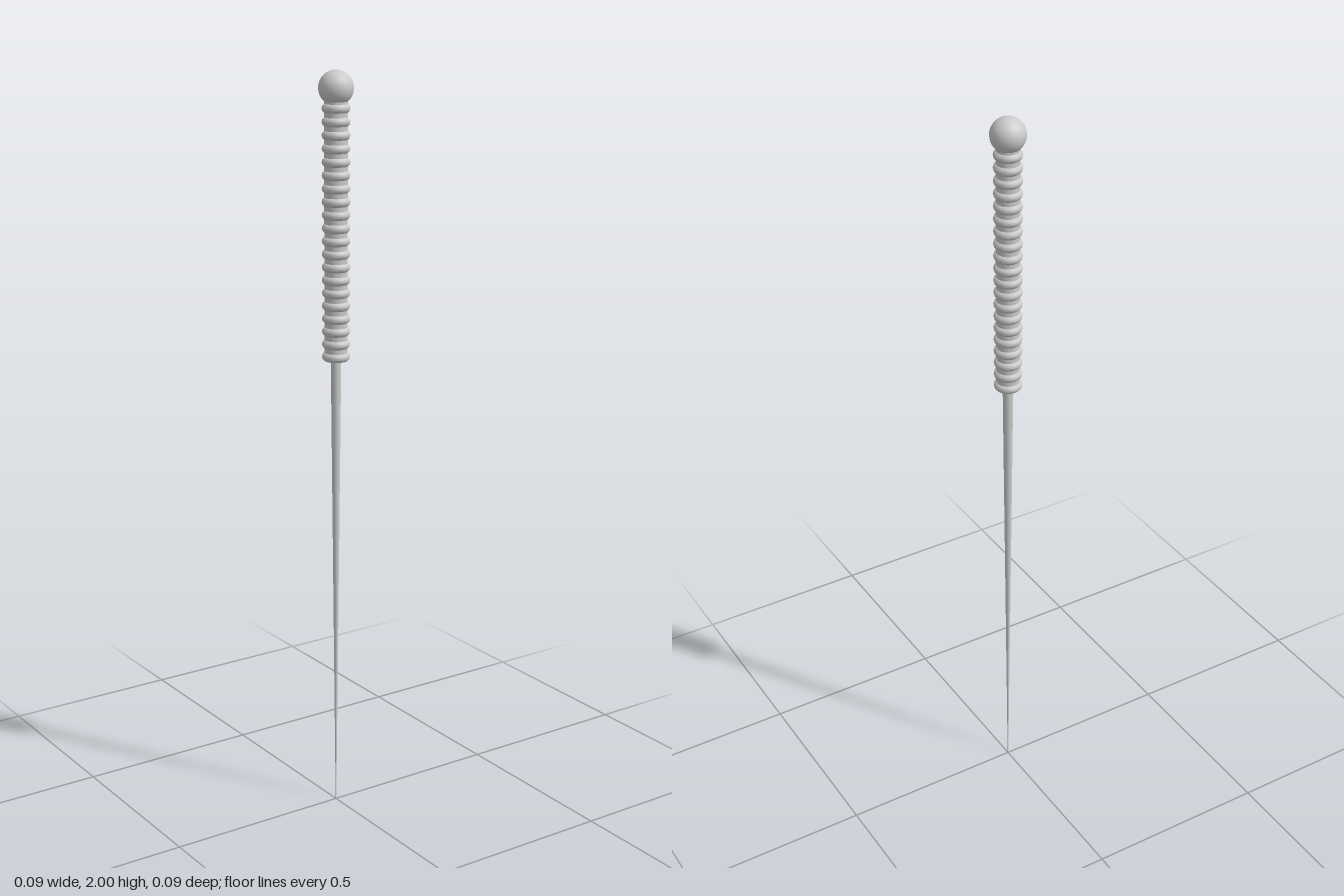
import * as THREE from 'three';

export function createModel() {
  const group = new THREE.Group();
  const material = new THREE.MeshStandardMaterial({ color: 0xcccccc });
  const add = (name, geometry, y) => {
    const mesh = new THREE.Mesh(geometry, material);
    mesh.name = name;
    mesh.position.y = y;
    group.add(mesh);
    return mesh;
  };

  // Slender shaft tapering to a point
  add('shaft', new THREE.CylinderGeometry(0.014, 0.001, 1.27, 16), 0.635);

  // Handle core wrapped in evenly spaced rings
  const bottom = 1.267, top = 1.905, rings = 20;
  add('gripCore', new THREE.CylinderGeometry(0.03, 0.03, 0.66, 24), 1.595);
  const ring = new THREE.TorusGeometry(0.024, 0.0125, 12, 24);
  ring.rotateX(Math.PI / 2);
  for (let i = 0; i < rings; i++) {
    add('gripRing', ring, bottom + (top - bottom) * i / (rings - 1));
  }

  // Round knob at the end of the handle
  add('pommel', new THREE.SphereGeometry(0.045, 20, 16), 1.955);

  return group;
}
